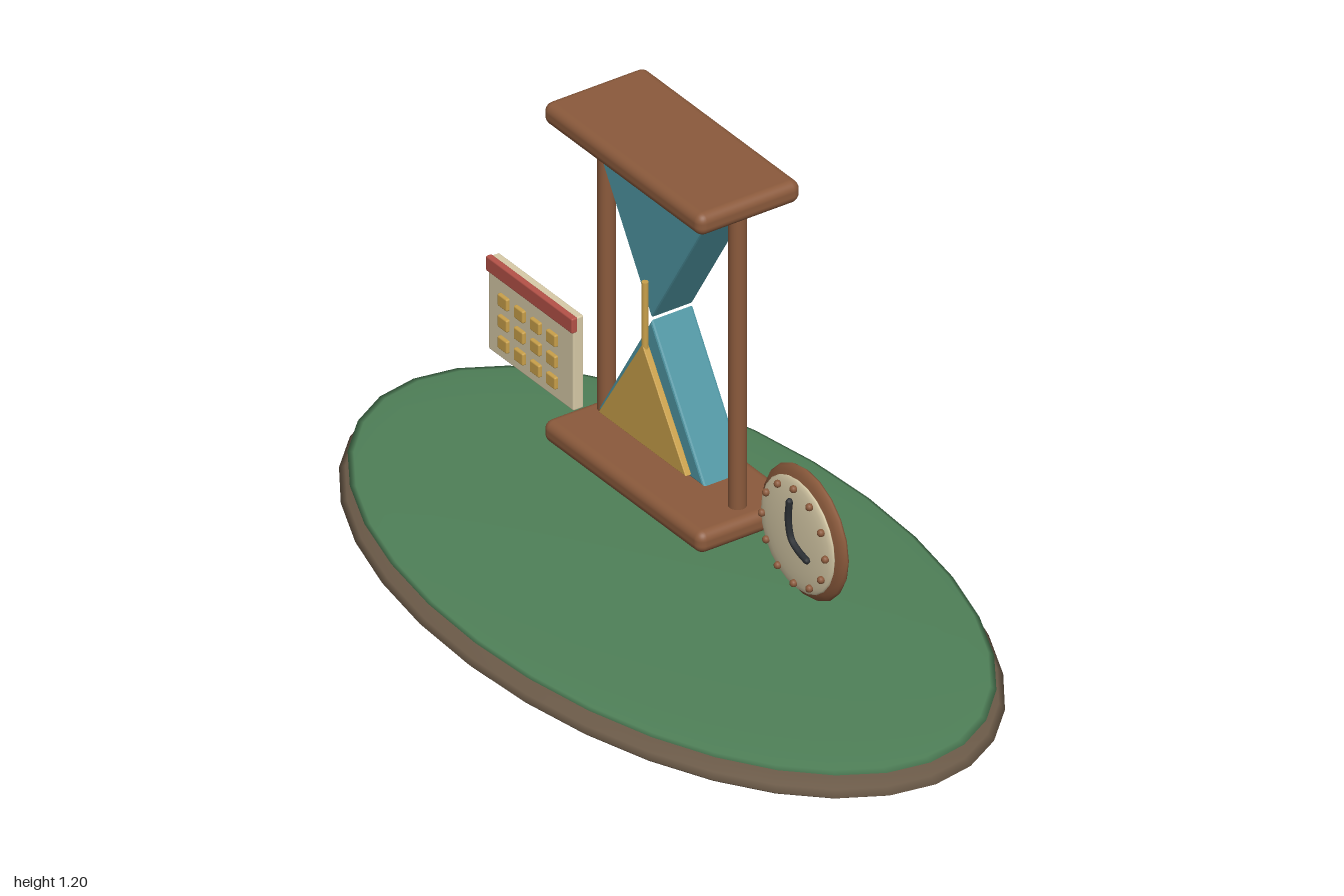
import * as THREE from 'three';
import { RoundedBoxGeometry } from 'three/addons/geometries/RoundedBoxGeometry.js';

const mat = (color) => new THREE.MeshStandardMaterial({ color });
const M = {
  wood: mat(0x8b5a3c), earth: mat(0x6b5a48), green: mat(0x4f8058), glass: mat(0x4f96a3),
  sand: mat(0xc9a04a), cream: mat(0xd8cba8), red: mat(0xb55248), dark: mat(0x2b2f33),
};

function add(parent, name, geometry, material, x = 0, y = 0, z = 0) {
  const mesh = new THREE.Mesh(geometry, material);
  mesh.name = name;
  mesh.position.set(x, y, z);
  parent.add(mesh);
  return mesh;
}

// Flattened ball with its poles along y
const lens = (rx, ry, rz, sides) => new THREE.SphereGeometry(1, sides, 16).scale(rx, ry, rz);

// Flattened ball with its poles along z
const disc = (r, depth, sides) =>
  new THREE.SphereGeometry(1, sides, 14).rotateX(Math.PI / 2).scale(r, r, depth);

// Extruded polygon centred on z = 0, bevelled inside its outline
function prism(points, depth, bevel) {
  const shape = new THREE.Shape(points.map(([x, y]) => new THREE.Vector2(x, y)));
  return new THREE.ExtrudeGeometry(shape, {
    depth: depth - 2 * bevel, bevelEnabled: true, bevelSize: bevel, bevelThickness: bevel,
    bevelOffset: -bevel, bevelSegments: 2,
  }).translate(0, 0, -depth / 2 + bevel);
}

function createHourglass() {
  const g = new THREE.Group();
  g.name = 'hourglass';
  // Frame
  const plate = new RoundedBoxGeometry(0.6, 0.055, 0.274, 4, 0.022);
  add(g, 'topPlate', plate, M.wood, 0, 1.173, 0);
  add(g, 'bottomPlate', plate, M.wood, 0, 0.362, 0);
  const post = new THREE.CylinderGeometry(0.021, 0.021, 0.74, 20);
  for (const s of [-1, 1]) add(g, s > 0 ? 'leftPost' : 'rightPost', post, M.wood, s * 0.248, 0.765, 0);
  // Two glass wedges meeting at the neck
  add(g, 'upperGlass', prism([[0, 0.77], [0.2, 1.097], [-0.2, 1.097]], 0.112, 0.006), M.glass);
  add(g, 'lowerGlass', prism([[-0.2, 0.437], [0.2, 0.437], [0, 0.762]], 0.112, 0.006), M.glass);
  // Sand pile and falling stream
  add(g, 'sandPile', prism([[-0.165, 0.455], [0.165, 0.455], [0, 0.71]], 0.016, 0.002), M.sand, 0, 0, 0.072);
  add(g, 'sandStream', new THREE.CylinderGeometry(0.008, 0.008, 0.19, 12), M.sand, 0, 0.772, 0.072);
  return g;
}

function createClock() {
  const g = new THREE.Group();
  g.name = 'clock';
  g.position.set(0.506, 0.456, 0);
  add(g, 'clockCase', disc(0.16, 0.028, 20), M.wood);
  add(g, 'clockFace', disc(0.139, 0.015, 24), M.cream, 0, 0, 0.02);
  // Hour marks
  const mark = new THREE.SphereGeometry(0.009, 10, 8);
  for (let i = 0; i < 12; i++) {
    const a = (i * Math.PI) / 6;
    add(g, 'hourMark', mark, M.wood, 0.12 * Math.sin(a), 0.12 * Math.cos(a), 0.032);
  }
  // Both hands as one bent rod
  const path = new THREE.CatmullRomCurve3(
    [[0, 0.092], [-0.004, 0.045], [0.008, 0], [0.035, -0.017], [0.066, -0.026]]
      .map(([x, y]) => new THREE.Vector3(x, y, 0.043)));
  add(g, 'clockHands', new THREE.TubeGeometry(path, 24, 0.008, 8), M.dark);
  for (const t of [0, 1]) {
    const p = path.getPoint(t);
    add(g, 'handTip', new THREE.SphereGeometry(0.008, 8, 6), M.dark, p.x, p.y, p.z);
  }
  return g;
}

function createCalendar() {
  const g = new THREE.Group();
  g.name = 'calendar';
  g.position.set(-0.515, 0, 0);
  add(g, 'page', new RoundedBoxGeometry(0.322, 0.236, 0.028, 2, 0.004), M.cream, 0, 0.456, 0);
  add(g, 'header', new RoundedBoxGeometry(0.328, 0.038, 0.016, 2, 0.004), M.red, 0, 0.557, 0.012);
  // Grid of days
  const day = new RoundedBoxGeometry(0.036, 0.031, 0.012, 2, 0.004);
  for (let row = 0; row < 3; row++)
    for (let col = 0; col < 4; col++)
      add(g, 'day', day, M.sand, -0.098 + col * 0.061, 0.489 - row * 0.054, 0.017);
  return g;
}

export function createModel() {
  const model = new THREE.Group();
  model.name = 'timeIsland';
  // Oval ground with a green top
  add(model, 'groundBase', lens(1, 0.058, 0.545, 32), M.earth, 0, 0.058, 0);
  add(model, 'groundTop', lens(0.98, 0.018, 0.525, 32), M.green, 0, 0.104, 0);
  model.add(createHourglass(), createClock(), createCalendar());
  return model;
}
